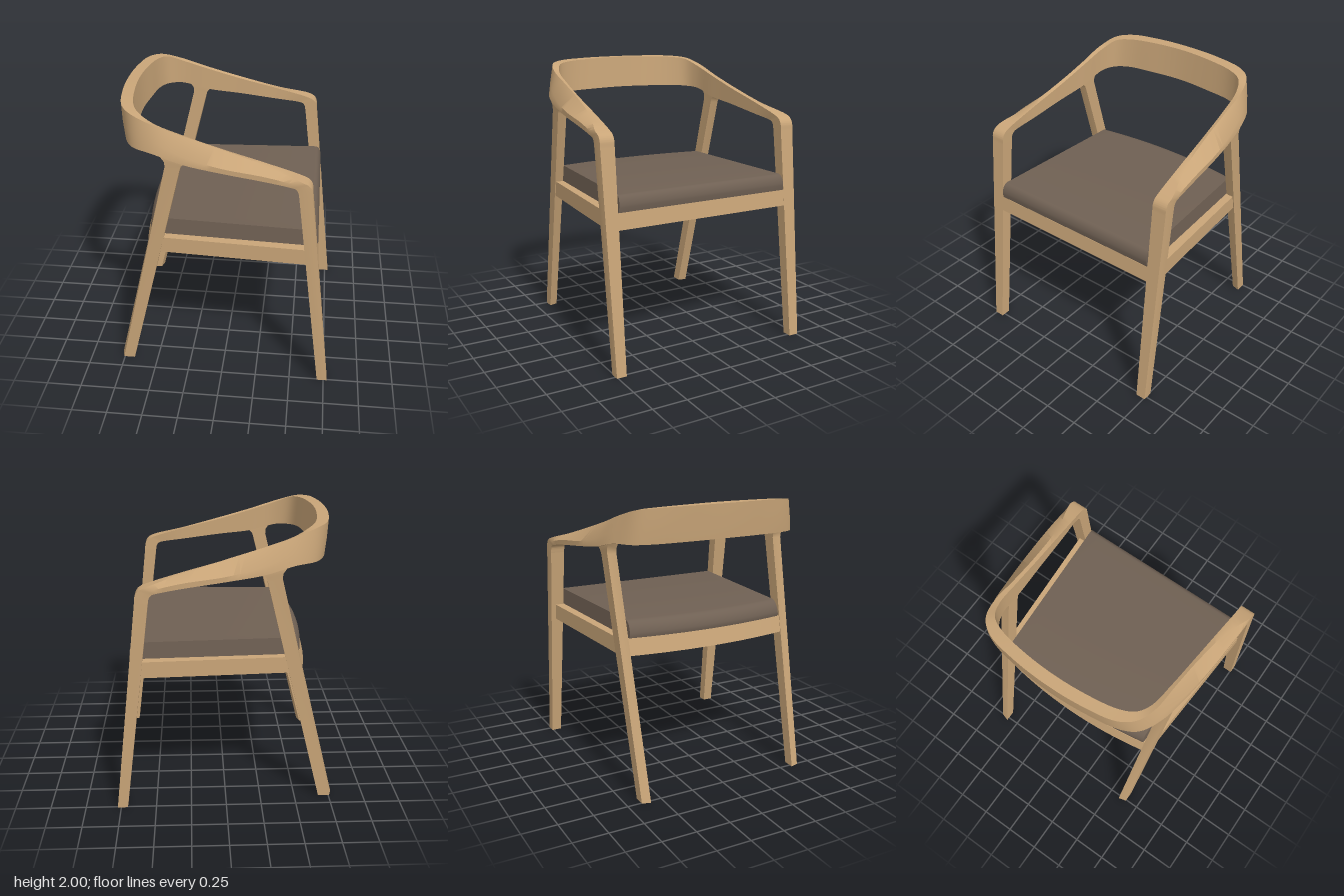
import * as THREE from 'three';
import { toCreasedNormals } from 'three/addons/utils/BufferGeometryUtils.js';

const wood = new THREE.MeshStandardMaterial({ color: 0xc9a578 });
const fabric = new THREE.MeshStandardMaterial({ color: 0x6f6053 });
const V = (x, y, z) => new THREE.Vector3(x, y, z);
const flip = (sections) => sections.map((s) => s.map((p) => V(p.x, p.y, -p.z)));

// Solid skin through a row of convex cross-sections, capped at both ends
function loft(sections, crease = 0.6) {
  const n = sections[0].length;
  const pts = sections.flat();
  let tris = [];
  for (let i = 0; i < sections.length - 1; i++) {
    for (let j = 0; j < n; j++) {
      const a = i * n + j, b = i * n + ((j + 1) % n);
      tris.push([a, b, b + n], [a, b + n, a + n]);
    }
  }
  const last = pts.length - n;
  for (let j = 1; j < n - 1; j++) tris.push([0, j + 1, j], [last, last + j, last + j + 1]);
  // turn the faces outward
  const c = pts.reduce((s, p) => s.add(p), V(0, 0, 0)).divideScalar(pts.length);
  const rel = pts.map((p) => p.clone().sub(c));
  const volume = tris.reduce((s, [a, b, d]) => s + rel[a].dot(rel[b].clone().cross(rel[d])), 0);
  if (volume < 0) tris = tris.map(([a, b, d]) => [a, d, b]);
  const geo = new THREE.BufferGeometry();
  geo.setAttribute('position', new THREE.Float32BufferAttribute(pts.flatMap((p) => p.toArray()), 3));
  geo.setIndex(tris.flat());
  return toCreasedNormals(geo, crease);
}

// Smooth every corner of the cross-sections along the row
function smooth(sections, steps) {
  const rails = sections[0].map((_, j) =>
    new THREE.CatmullRomCurve3(sections.map((s) => s[j]), false, 'centripetal'));
  const count = (sections.length - 1) * steps;
  return Array.from({ length: count + 1 }, (_, i) => rails.map((r) => r.getPoint(i / count)));
}

export function createModel() {
  const chair = new THREE.Group();
  const add = (name, sections, material = wood, crease) => {
    const mesh = new THREE.Mesh(loft(sections, crease), material);
    mesh.name = name;
    chair.add(mesh);
  };
  const addPair = (name, sections) => {
    add(name + 'Left', sections);
    add(name + 'Right', flip(sections));
  };

  // Arms and backrest: one band that twists from flat arms to an upright back.
  // Corners: top inner, top outer, outer middle, bottom outer, bottom inner
  const bend = (xt, yt, xb, yb) => [
    V(xt, yt, 0.668), V(xt, yt, 0.772), V((xt + xb) / 2, (yt + yb) / 2, 0.775),
    V(xb, yb, 0.772), V(xb, yb, 0.668)];
  const half = [
    bend(0.603, 1.53, 0.515, 1.52),
    bend(0.597, 1.578, 0.505, 1.563),
    bend(0.577, 1.608, 0.487, 1.583),
    bend(0.535, 1.63, 0.455, 1.592),
    [V(0.3, 1.7, 0.655), V(0.3, 1.7, 0.7), V(0.3, 1.655, 0.768), V(0.3, 1.62, 0.768), V(0.3, 1.615, 0.655)],
    [V(0, 1.78, 0.637), V(0, 1.788, 0.662), V(0, 1.695, 0.752), V(0, 1.66, 0.753), V(0, 1.658, 0.637)],
    [V(-0.25, 1.855, 0.622), V(-0.25, 1.862, 0.648), V(-0.25, 1.75, 0.72), V(-0.25, 1.695, 0.726), V(-0.25, 1.69, 0.62)],
    [V(-0.45, 1.922, 0.602), V(-0.46, 1.93, 0.638), V(-0.455, 1.83, 0.672), V(-0.45, 1.745, 0.69), V(-0.45, 1.742, 0.605)],
    [V(-0.555, 1.97, 0.55), V(-0.6, 1.975, 0.59), V(-0.6, 1.86, 0.605), V(-0.595, 1.752, 0.615), V(-0.545, 1.75, 0.56)],
    [V(-0.608, 1.985, 0.45), V(-0.678, 1.99, 0.49), V(-0.672, 1.87, 0.5), V(-0.66, 1.757, 0.505), V(-0.598, 1.757, 0.46)],
    [V(-0.645, 1.995, 0.25), V(-0.724, 1.998, 0.27), V(-0.715, 1.88, 0.27), V(-0.703, 1.762, 0.27), V(-0.627, 1.762, 0.25)],
  ];
  const middle = [V(-0.66, 2, 0), V(-0.74, 2, 0), V(-0.732, 1.88, 0), V(-0.72, 1.765, 0), V(-0.645, 1.765, 0)];
  add('armsAndBackrest', smooth([...half, middle, ...flip(half).reverse()], 6), wood, 0.7);

  // Front legs
  addPair('frontLeg', [
    [V(0.775, 0, 0.685), V(0.775, 0, 0.758), V(0.74, 0, 0.76), V(0.703, 0, 0.758), V(0.703, 0, 0.685)],
    half[0]]);

  // Back legs, flaring where they meet the arms
  const legCut = (xb, yb, xf, yf, z0, z1, skew = 0) =>
    [V(xb, yb, z0), V(xb + skew, yb, z1), V(xf, yf, z1), V(xf - skew, yf, z0)];
  addPair('backLeg', [
    legCut(-0.775, 0, -0.675, 0, 0.587, 0.648, 0.018),
    legCut(-0.37, 1.66, -0.272, 1.64, 0.628, 0.695),
    legCut(-0.372, 1.695, -0.262, 1.668, 0.628, 0.698),
    legCut(-0.395, 1.73, -0.235, 1.692, 0.628, 0.7),
    legCut(-0.41, 1.77, -0.22, 1.73, 0.63, 0.695)]);

  // Seat frame
  const y0 = 0.985, y1 = 1.1;
  const upright = (x, zi, zo) => [V(x, y0, zi), V(x, y1, zi), V(x, y1, zo), V(x, y0, zo)];
  addPair('sideRail', [upright(-0.46, 0.61, 0.668), upright(0.62, 0.668, 0.735)]);
  const frontCut = (z) => [V(0.663, y0, z), V(0.65, y1, z), V(0.585, y1, z), V(0.598, y0, z)];
  add('frontRail', [frontCut(-0.69), frontCut(0.69)]);
  const backRail = [];
  for (let i = 0; i <= 16; i++) {
    const z = -0.63 + (1.26 * i) / 16;
    const x = 0.055 * (z / 0.6) ** 2;
    backRail.push([V(x - 0.588, y0, z), V(x - 0.56, y1, z), V(x - 0.5, y1, z), V(x - 0.528, y0, z)]);
  }
  add('backRail', backRail);

  // Diagonal corner braces under the seat
  const brace = (xa, za, xb, zb, w) => [[xa, za], [xb, zb]].map(([x, z]) =>
    [V(x, 1.01, z), V(x, 1.08, z), V(x + w, 1.08, z), V(x + w, 1.01, z)]);
  addPair('frontBrace', brace(0.45, 0.665, 0.6, 0.5, -0.06));
  addPair('backBrace', brace(-0.33, 0.62, -0.52, 0.45, 0.06));

  // Seat pad: rounded profile front to back, tapered and bowed toward the back
  const profile = [[-0.55, 1.085]];
  for (let i = 0; i <= 8; i++) {
    const a = (i / 8) * Math.PI / 2;
    profile.push([-0.48 - 0.08 * Math.cos(a), 1.115 + 0.1 * Math.sin(a)]);
  }
  for (let i = 0; i <= 8; i++) {
    const a = (i / 8) * Math.PI / 2;
    profile.push([0.605 + 0.05 * Math.sin(a), 1.135 + 0.08 * Math.cos(a)]);
  }
  profile.push([0.645, 1.085]);
  const pad = [];
  for (let i = 0; i <= 16; i++) {
    const s = -1 + i / 8;
    pad.push(profile.map(([x, y]) => {
      const bow = 0.055 * s * s * (0.655 - x) / 1.215;
      const width = 0.634 + 0.054 * x - 0.08 * (y - 1.1);
      return V(x + bow, y, s * width);
    }));
  }
  add('seatPad', pad, fabric);

  return chair;
}
